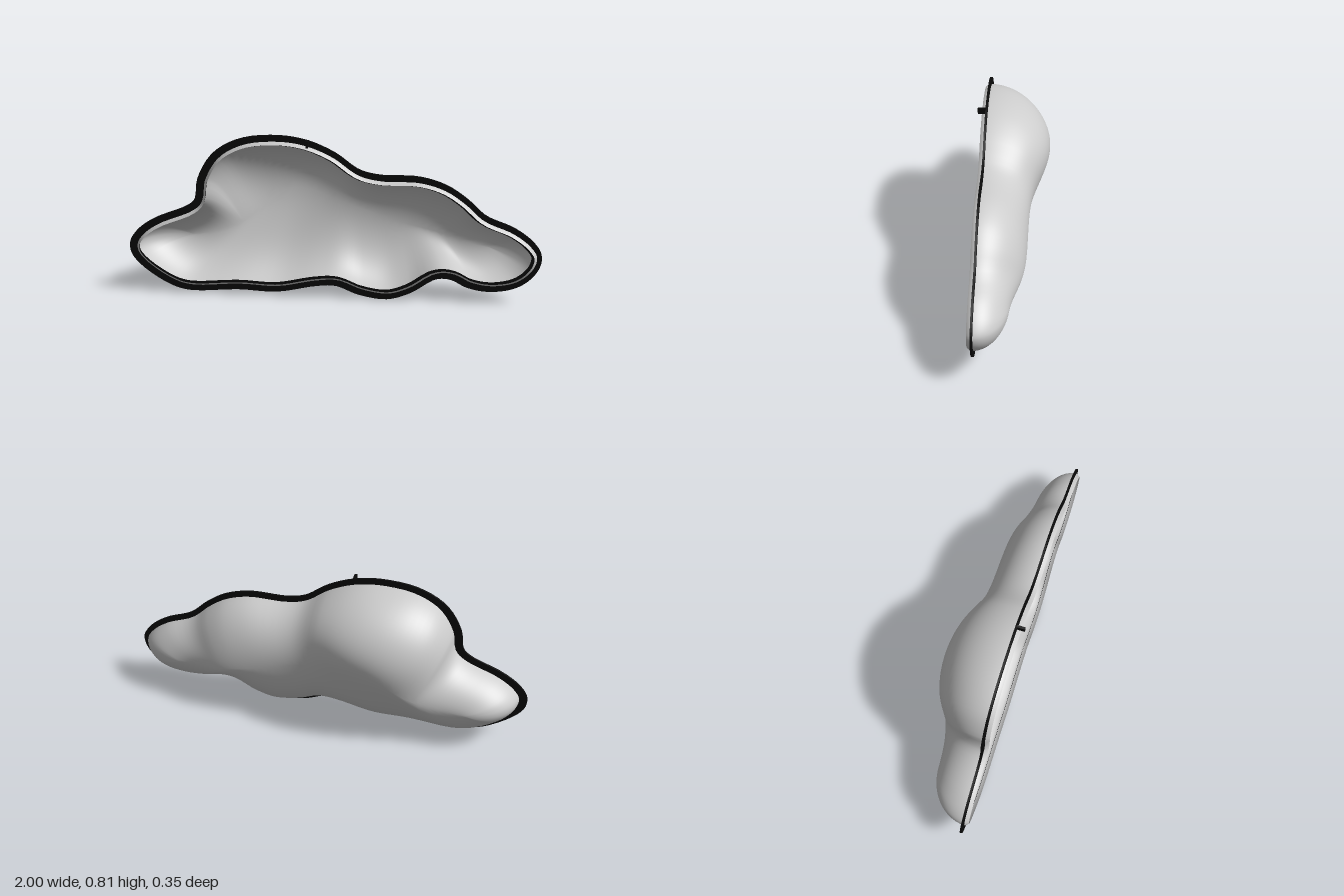
import * as THREE from 'three';
import { mergeVertices } from 'three/addons/utils/BufferGeometryUtils.js';

// Outer edge of the cloud, clockwise from the left tip
const EDGE = [
  [-1, .26], [-.96, .32], [-.875, .38], [-.71, .45], [-.673, .485], [-.655, .59], [-.58, .715],
  [-.45, .79], [-.27, .812], [-.125, .792], [.01, .735], [.125, .655], [.22, .632],
  [.41, .628], [.54, .59], [.64, .525], [.73, .445], [.865, .388], [.955, .323],
  [.998, .26], [.995, .2], [.955, .135], [.88, .083], [.757, .06], [.65, .077], [.57, .115],
  [.5, .115], [.38, .04], [.265, .002], [.125, .02], [.01, .062], [-.09, .056],
  [-.275, .02], [-.47, .025], [-.71, .012], [-.81, .04], [-.95, .135], [-.998, .2],
];

// Puffs of the cloud: x, y, depth
const PUFFS = [
  [-.72, .22, .22], [-.25, .55, .35], [-.3, .15, .285], [.05, .3, .24],
  [.38, .37, .245], [.22, .12, .24], [.82, .23, .17],
];

const N = 160;

// Closed smooth edge, moved inward by d along its normals
const curve = new THREE.CatmullRomCurve3(
  EDGE.map((p) => new THREE.Vector3(p[0], p[1], 0)), true);
function offsetEdge(d) {
  const pts = [];
  for (let i = 0; i < N; i++) {
    const p = curve.getPoint(i / N), t = curve.getTangent(i / N);
    pts.push(new THREE.Vector2(p.x + t.y * d, p.y - t.x * d));
  }
  return pts;
}

// Ridge line running through the middle of the cloud
const RIDGE_END = .77;
const ridge = new THREE.SplineCurve([.23, .28, .46, .42, .34, .28, .23].map(
  (y, i) => new THREE.Vector2(RIDGE_END * (i / 3 - 1), y)));
const ridgePoint = (x) => ridge.getPoint((x / RIDGE_END + 1) / 2);

// Depth at a point: soft average of the nearby puffs
function puffDepth(x, y) {
  let sum = 0, total = 0;
  for (const [px, py, d] of PUFFS) {
    const w = Math.exp(-((x - px) ** 2 + (y - py) ** 2) / (2 * .17 * .17)) + 1e-6;
    sum += w * d;
    total += w;
  }
  return sum / total;
}

// Domed shell, open to the front: a lip, then rings from the rim to the ridge
function shellGeometry() {
  const RINGS = 24, pos = [], idx = [];
  for (const p of offsetEdge(.044)) pos.push(p.x, p.y, .146);
  const rim = offsetEdge(.031);
  for (let r = 0; r <= RINGS; r++) {
    const a = (r / RINGS) * Math.PI / 2;
    const s = r === RINGS ? 0 : Math.cos(a);
    for (const p of rim) {
      let cx = THREE.MathUtils.clamp(p.x * .77, -.72, .72);
      // The last ring snaps to shared points, so both sides weld along the ridge
      if (r === RINGS) cx = Math.round(cx / .04) * .04;
      const c = ridgePoint(cx);
      const x = c.x + (p.x - c.x) * s, y = c.y + (p.y - c.y) * s;
      pos.push(x, y, .13 - (puffDepth(x, y) - .015) * Math.sin(a));
    }
  }
  for (let r = 0; r <= RINGS; r++) {
    for (let i = 0; i < N; i++) {
      const a = r * N + i, b = r * N + (i + 1) % N;
      idx.push(a, b, a + N, b, b + N, a + N);
    }
  }
  const g = new THREE.BufferGeometry();
  g.setAttribute('position', new THREE.Float32BufferAttribute(pos, 3));
  g.setIndex(idx);
  const welded = mergeVertices(g, 1e-5);
  welded.computeVertexNormals();
  return welded;
}

export function createModel() {
  const group = new THREE.Group();
  const grey = new THREE.MeshStandardMaterial({ color: 0xcccccc, side: THREE.DoubleSide });
  const black = new THREE.MeshStandardMaterial({ color: 0x0a0a0a });
  const add = (name, geo, mat, x, y, z) => {
    const m = new THREE.Mesh(geo, mat);
    m.name = name;
    m.position.set(x, y, z);
    group.add(m);
  };

  add('cloudShell', shellGeometry(), grey, .008, 0, 0);

  // Flat band around the rim
  const band = new THREE.Shape(offsetEdge(0));
  band.holes.push(new THREE.Path(offsetEdge(.05)));
  const bandGeo = new THREE.ExtrudeGeometry(band, { depth: .01, bevelEnabled: false });
  add('rimBand', bandGeo, black, 0, 0, .117);

  // Small tab where the band's ends meet
  add('bandSeam', new THREE.BoxGeometry(.012, .03, .042), black, -.12, .778, .143);

  return group;
}
